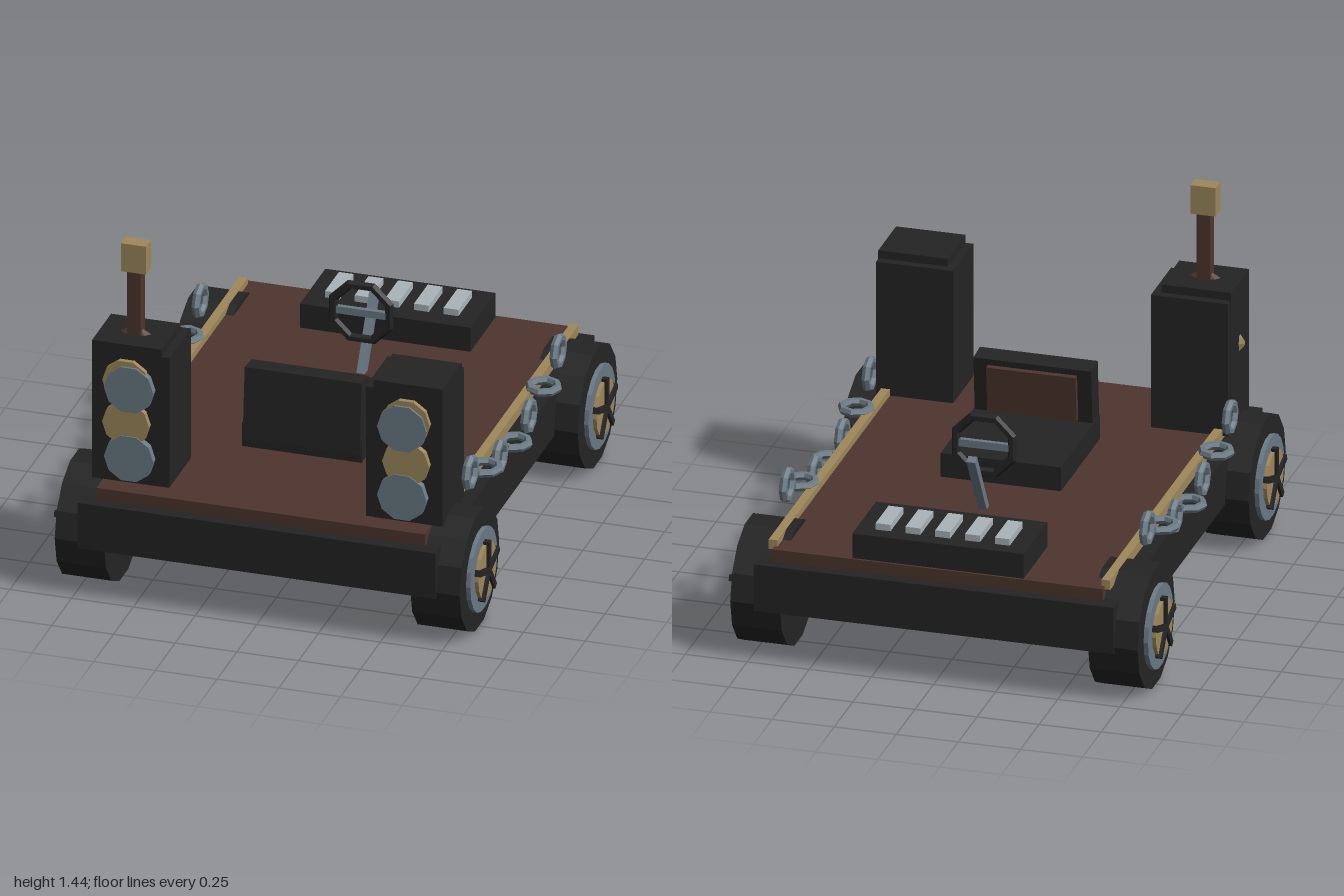
import * as THREE from 'three';

const mat = (name, color) => {
  const m = new THREE.MeshStandardMaterial({ color, flatShading: true });
  m.name = name;
  return m;
};

export function createModel() {
  const dark = mat('dark', 0x242424);
  const wood = mat('wood', 0x4d352d);
  const brass = mat('brass', 0x9f885a);
  const steel = mat('steel', 0x6b7a85);
  const pale = mat('pale keys', 0xaab4b8);
  const model = new THREE.Group();
  model.name = 'cart';

  const add = (name, geo, material, x = 0, y = 0, z = 0, parent = model) => {
    const m = new THREE.Mesh(geo, material);
    m.name = name;
    m.position.set(x, y, z);
    parent.add(m);
    return m;
  };
  // box given by its minimum and maximum along each axis
  const box = (name, material, [x0, x1], [y0, y1], [z0, z1], parent) =>
    add(name, new THREE.BoxGeometry(x1 - x0, y1 - y0, z1 - z0), material,
      (x0 + x1) / 2, (y0 + y1) / 2, (z0 + z1) / 2, parent);

  // chassis and deck
  box('chassis', dark, [-0.725, 0.725], [0.225, 0.42], [-1, 1]);
  box('deck', wood, [-0.665, 0.665], [0.42, 0.47], [-0.95, 0.95]);

  // wheels: tyre, rim, hub and five spokes
  const disc = (r, n, x0, x1) => {
    const g = new THREE.CylinderGeometry(r, r, x1 - x0, n);
    g.rotateZ(-Math.PI / 2).translate((x0 + x1) / 2, 0, 0);
    return g;
  };
  for (const s of [1, -1]) for (const z of [0.745, -0.745]) {
    const wheel = new THREE.Group();
    wheel.name = 'wheel';
    wheel.position.set(0, 0.25, z);
    if (s < 0) wheel.rotation.y = Math.PI;
    model.add(wheel);
    add('tyre', disc(0.25, 14, 0.62, 0.82), dark, 0, 0, 0, wheel);
    add('rim', disc(0.17, 18, 0.8, 0.838), steel, 0, 0, 0, wheel);
    add('hub', disc(0.115, 16, 0.82, 0.853), brass, 0, 0, 0, wheel);
    for (let i = 0; i < 5; i++) {
      const g = new THREE.BoxGeometry(0.025, 0.125, 0.025);
      g.translate(0.852, 0.0625, 0).rotateX(i * Math.PI * 2 / 5);
      add('spoke', g, dark, 0, 0, 0, wheel);
    }
  }

  // side rails with hanging chains
  for (const s of [1, -1]) {
    add('rail', new THREE.BoxGeometry(0.035, 0.04, 1.54), brass, s * 0.67, 0.477, -0.15);
    for (let i = -3; i <= 3; i++) {
      const y = [0.435, 0.46, 0.5, 0.565][Math.abs(i)];
      const link = add('chainLink', new THREE.TorusGeometry(0.057, 0.017, 6, 8),
        steel, s * 0.725, y, 0.009 + i * 0.185);
      if (i % 2) link.rotation.y = Math.PI / 2;
      else link.rotation.x = Math.PI / 2;
    }
  }

  // lamp towers
  for (const s of [1, -1]) {
    const span = (a, b) => (s > 0 ? [a, b] : [-b, -a]);
    box('tower', dark, span(0.43, 0.71), [0.47, 1.06], [0.625, 0.865]);
    box('towerCasing', dark, span(0.398, 0.708), [0.47, 1.027], [0.59, 0.863]);
    const lamps = [
      [0.553, 0.88, 0.1, steel, 0.895], [0.567, 0.905, 0.096, brass, 0.885],
      [0.567, 0.73, 0.095, brass, 0.89], [0.553, 0.585, 0.1, steel, 0.895],
    ];
    for (const [x, y, r, material, front] of lamps) {
      const g = new THREE.CylinderGeometry(r, r, front - 0.85, 10);
      g.rotateY(Math.PI / 2).rotateX(Math.PI / 2);
      add('lamp', g, material, s * x, y, (front + 0.85) / 2);
    }
  }

  // post and fittings on the right tower
  box('post', wood, [-0.597, -0.542], [1.04, 1.34], [0.722, 0.778]);
  box('postCap', brass, [-0.62, -0.518], [1.33, 1.45], [0.72, 0.782]);
  const foot = new THREE.CylinderGeometry(0.03, 0.065, 0.02, 8);
  foot.scale(1, 1, 0.45);
  add('postFoot', foot, wood, -0.57, 1.068, 0.75);
  const knob = new THREE.CylinderGeometry(0.01, 0.042, 0.022, 6);
  knob.rotateZ(Math.PI / 2).scale(1, 1, 0.45);
  add('sideKnob', knob, brass, -0.718, 0.8, 0.745);

  // seat facing the steering wheel
  box('seatBase', dark, [-0.242, 0.242], [0.47, 0.57], [-0.097, 0.43]);
  const back = new THREE.Group();
  back.name = 'seatBack';
  back.position.set(0, 0.5, 0.395);
  back.rotation.x = -0.085;
  model.add(back);
  box('backrest', dark, [-0.237, 0.237], [0.005, 0.3], [-0.045, 0.045], back);
  box('backPad', wood, [-0.18, 0.18], [0.085, 0.275], [-0.067, -0.04], back);

  // steering wheel and column
  add('steeringWheel', new THREE.TorusGeometry(0.122, 0.019, 6, 8)
    .rotateZ(Math.PI / 8), dark, 0, 0.73, -0.32);
  box('steeringBar', steel, [-0.11, 0.11], [0.715, 0.745], [-0.33, -0.31]);
  const column = add('steeringColumn', new THREE.BoxGeometry(0.035, 0.32, 0.03),
    steel, 0, 0.6, -0.405);
  column.rotation.x = -Math.atan2(-0.16, 0.27) * -1;

  // console with five keys
  box('console', dark, [-0.345, 0.345], [0.47, 0.573], [-0.94, -0.62]);
  for (let i = -2; i <= 2; i++) {
    add('key', new THREE.BoxGeometry(0.06, 0.04, 0.175), pale, i * 0.12, 0.58, -0.79);
  }
  return model;
}
